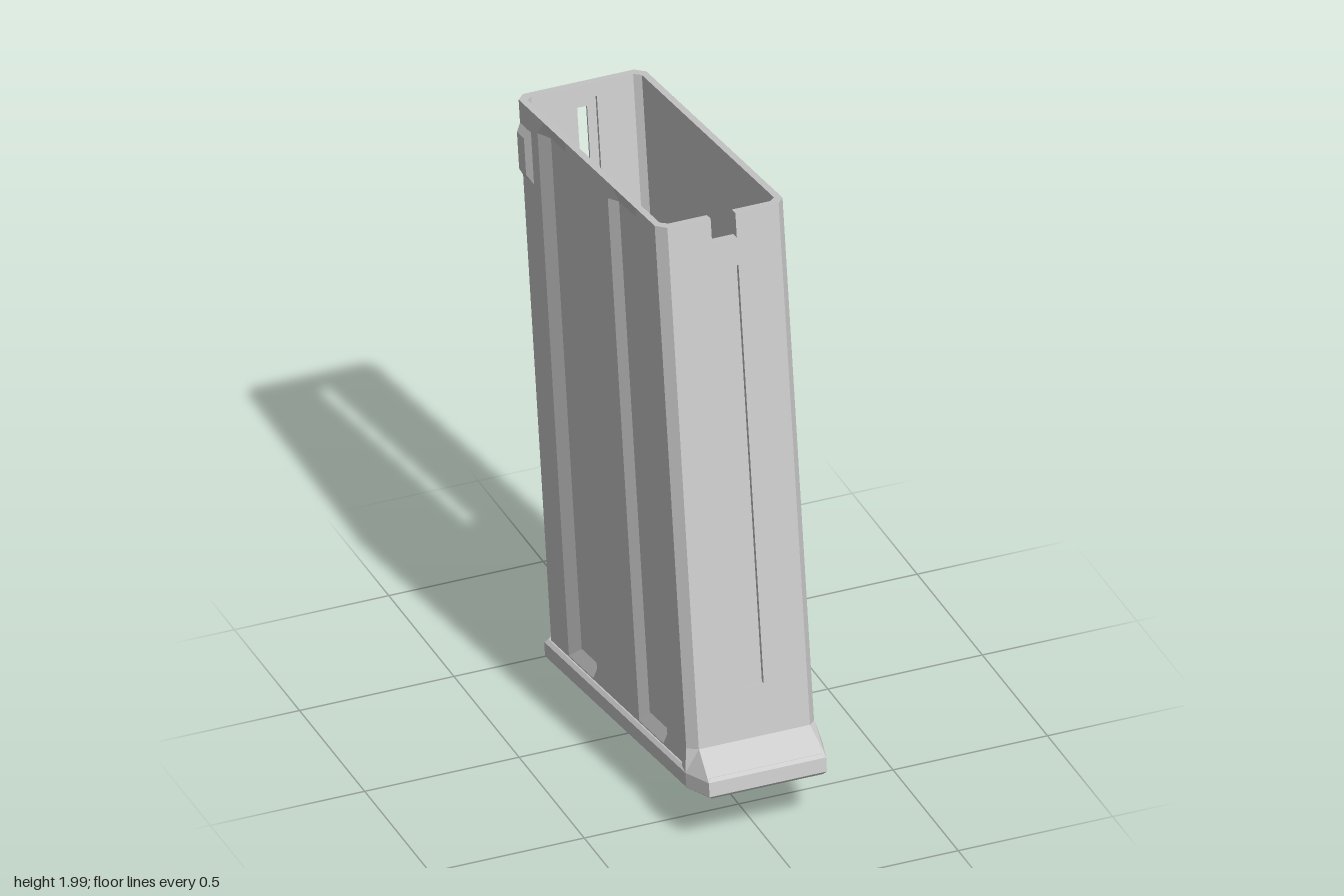
import * as THREE from 'three';

const material = new THREE.MeshStandardMaterial({ color: 0xcccccc, flatShading: true });

// Joins equal rings of [x, y, z] points with flat faces and closes both ends.
function loft(rings) {
  const pos = [];
  const quad = (a, b, c, d) => pos.push(...a, ...b, ...c, ...a, ...c, ...d);
  const n = rings[0].length;
  for (let r = 0; r < rings.length - 1; r++) {
    for (let i = 0; i < n; i++) {
      const j = (i + 1) % n;
      quad(rings[r][i], rings[r][j], rings[r + 1][j], rings[r + 1][i]);
    }
  }
  const top = rings[rings.length - 1], low = rings[0];
  for (let i = 0; i < n / 2 - 1; i++) {
    quad(top[i], top[i + 1], top[n - 2 - i], top[n - 1 - i]);
    quad(low[n - 1 - i], low[n - 2 - i], low[i + 1], low[i]);
  }
  const g = new THREE.BufferGeometry();
  g.setAttribute('position', new THREE.Float32BufferAttribute(pos, 3));
  g.computeVertexNormals();
  return g;
}

const mirrorRing = ring => ring.map(([x, y, z]) => [-x, y, z]).reverse();

// Completes a ring from its +x half, listed front to back.
const symmetric = half => [...half, ...mirrorRing(half)];

function rectPath(PathType, x, y0, y1) {
  const p = new PathType();
  p.moveTo(-x, y0);
  p.lineTo(x, y0);
  p.lineTo(x, y1);
  p.lineTo(-x, y1);
  p.closePath();
  return p;
}

function extrude(shape, z0, z1) {
  const g = new THREE.ExtrudeGeometry(shape, { depth: z1 - z0, bevelEnabled: false });
  return g.translate(0, 0, z0);
}

const TOP = 1.925, BOTTOM = 0.14, FRONT = 0.659, BACK = -0.462;
const WALL = 0.029, PANEL = 0.165, HALF = 0.207, INNER = 0.185;

// Cross-section of one side wall; d is the depth of its two long recesses.
function wallRing(y, d) {
  const outer = [
    [PANEL, FRONT], [0.18, FRONT], [HALF, 0.625],
    [HALF, 0.477], [HALF - d, 0.441], [HALF - d, 0.293], [HALF, 0.253],
    [HALF, -0.068], [HALF - d, -0.103], [HALF - d, -0.235], [HALF, -0.292],
    [HALF, -0.43], [0.18, BACK], [PANEL, BACK],
  ];
  const last = outer.length - 1;
  const inner = outer.map(([, z], i) => {
    if (i === 0) return [PANEL, FRONT - WALL];
    if (i === last) return [PANEL, BACK + WALL];
    if (i === 1) return [0.175, 0.62];
    if (i === last - 1) return [0.175, -0.423];
    return [INNER, Math.min(0.61, Math.max(-0.413, z))];
  });
  return [...outer, ...inner.reverse()].map(([x, z]) => [x, y, z]);
}

export function createModel() {
  const model = new THREE.Group();
  model.name = 'boxContainer';
  const body = new THREE.Group();
  body.name = 'tiltedBody';
  body.rotation.x = -0.142;
  model.add(body);
  const add = (name, geometry) => {
    const mesh = new THREE.Mesh(geometry, material);
    mesh.name = name;
    body.add(mesh);
  };

  // Side walls with recesses that fade out at both ends
  const wall = [[BOTTOM, 0], [0.16, 0], [0.2, 0.02], [1.87, 0.02], [TOP, 0]].map(r => wallRing(...r));
  add('leftWall', loft(wall));
  add('rightWall', loft(wall.map(mirrorRing)));

  // Front wall with a notch in the rim and a shallow groove
  const front = new THREE.Shape();
  [[-PANEL, BOTTOM], [PANEL, BOTTOM], [PANEL, TOP], [0.04, TOP], [0.04, 1.845],
    [-0.04, 1.845], [-0.04, TOP], [-PANEL, TOP]]
    .forEach(([x, y], i) => (i ? front.lineTo(x, y) : front.moveTo(x, y)));
  front.closePath();
  front.holes.push(rectPath(THREE.Path, 0.04, 0.386, 1.755));
  add('frontWall', extrude(front, FRONT - WALL, FRONT));
  add('frontGrooveFloor', extrude(rectPath(THREE.Shape, 0.04, 0.386, 1.755), FRONT - WALL, FRONT - 0.014));

  // Back wall in three layers: a narrow slit between wider grooves
  [
    [0.03, 0.42, 1.85, BACK, BACK + 0.01],
    [0.016, 0.5, 1.85, BACK + 0.01, BACK + 0.018],
    [0.045, 0.36, 1.88, BACK + 0.018, BACK + WALL],
  ].forEach(([x, y0, y1, z0, z1], i) => {
    const layer = rectPath(THREE.Shape, PANEL, BOTTOM, TOP);
    layer.holes.push(rectPath(THREE.Path, x, y0, y1));
    add('backWallLayer' + (i + 1), extrude(layer, z0, z1));
  });

  // Small catch on the right side near the top rear corner
  const catchRing = (x, s) => [
    [x, 1.68 + s, -0.43 + s / 4], [x, 1.68 + s, -0.345 - s],
    [x, 1.85 - s, -0.345 - s], [x, 1.85 - s, -0.43 + s / 4],
  ];
  add('sideCatch', loft([catchRing(-0.2, 0), catchRing(-0.207, 0), catchRing(-0.221, 0.025)]));

  // Base plate with bevelled edges
  const plateRing = (y, s) => symmetric([
    [0.19 - s, y, 0.75 - s], [0.222 - s, y, 0.645 - s],
    [0.222 - s, y, -0.45 + s], [0.2 - s, y, -0.475 + s],
  ]);
  add('basePlate', loft([plateRing(0.09, 0.01), plateRing(0.1, 0), plateRing(0.146, 0), plateRing(0.156, 0.01)]));

  // Sloped flare joining the plate to the front wall
  add('frontFlare', loft([
    symmetric([[0.19, 0.146, 0.75], [0.222, 0.146, 0.645], [0.215, 0.146, 0.595], [0.19, 0.146, 0.635]]),
    symmetric([[0.18, 0.22, 0.66], [0.208, 0.215, 0.626], [0.208, 0.165, 0.6], [0.18, 0.2, 0.635]]),
  ]));

  // Raised pads under the plate, two columns of three, and a lower centre strip
  const padRing = (x0, x1, z0, z1, y, s) => [
    [x1 - s, y, z1 - s], [x1 - s, y, z0 + s], [x0 + s, y, z0 + s], [x0 + s, y, z1 - s],
  ];
  const pad = (name, x0, x1, z0, z1, y) => add(name, loft([
    padRing(x0, x1, z0, z1, y, 0.012), padRing(x0, x1, z0, z1, y + 0.012, 0), padRing(x0, x1, z0, z1, 0.1, 0),
  ]));
  for (const [z0, z1] of [[0.31, 0.616], [-0.06, 0.25], [-0.42, -0.115]]) {
    pad('leftBasePad', 0.045, 0.185, z0, z1, 0.066);
    pad('rightBasePad', -0.185, -0.045, z0, z1, 0.066);
    pad('centreBasePad', -0.045, 0.045, z0 + 0.03, z1 - 0.03, 0.076);
  }

  return model;
}
